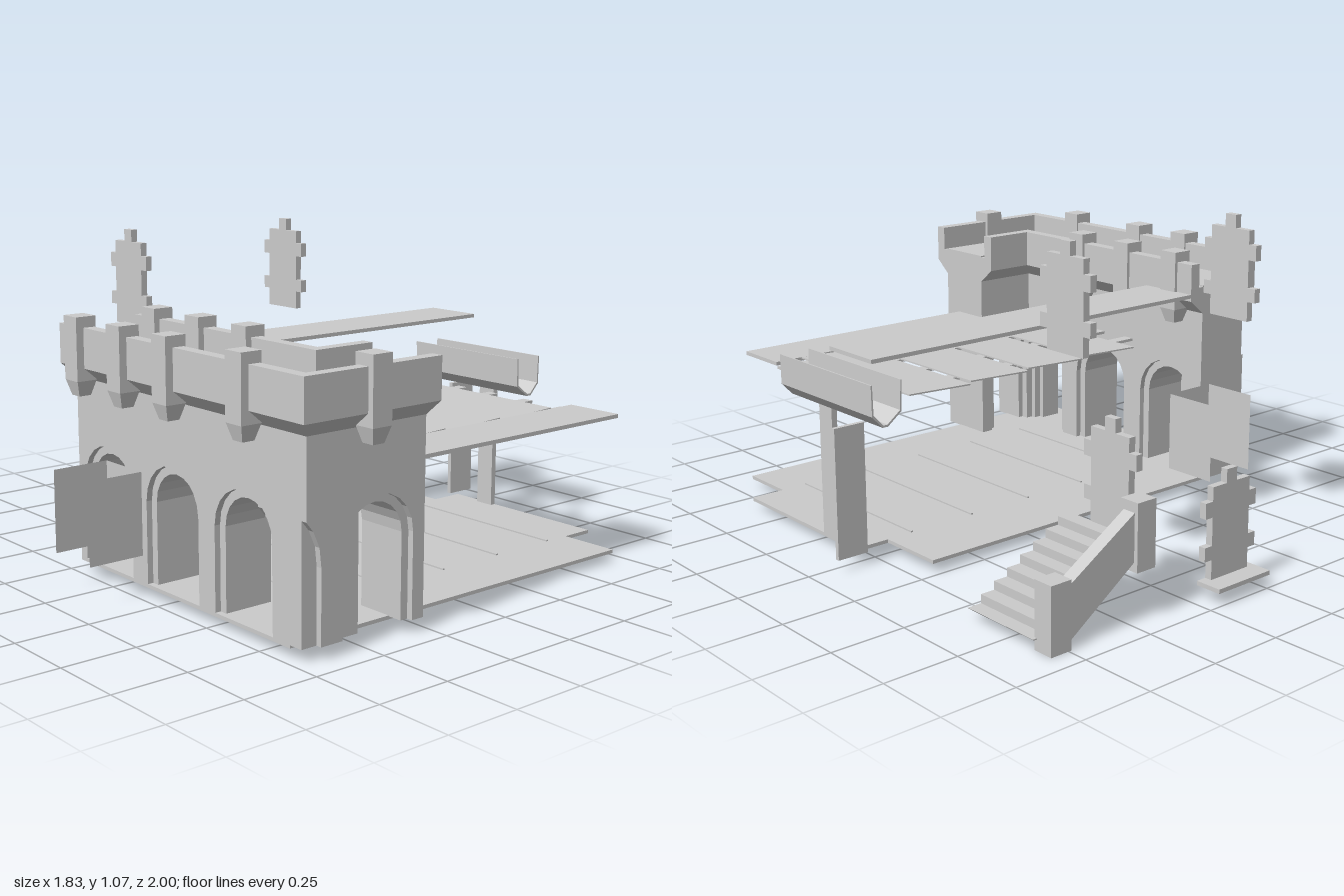
import * as THREE from 'three';

const mat = new THREE.MeshStandardMaterial({ color: 0xcccccc, flatShading: true, side: THREE.DoubleSide });

export function createModel() {
  const root = new THREE.Group();

  const add = (name, geo, parent = root) => {
    const m = new THREE.Mesh(geo, mat);
    m.name = name;
    parent.add(m);
    return m;
  };
  // Box given by its minimum and maximum on each axis
  const box = (name, x0, x1, y0, y1, z0, z1, parent = root) => {
    const m = add(name, new THREE.BoxGeometry(x1 - x0, y1 - y0, z1 - z0), parent);
    m.position.set((x0 + x1) / 2, (y0 + y1) / 2, (z0 + z1) / 2);
    return m;
  };
  const polygon = pts => new THREE.Shape(pts.map(p => new THREE.Vector2(p[0], p[1])));
  const extrude = (shape, depth) => new THREE.ExtrudeGeometry(shape, { depth, bevelEnabled: false, curveSegments: 5 });

  // Round-headed opening centred on u
  const archPoints = (u, r, base) => {
    const pts = [[u - r, base]];
    for (let i = 0; i <= 10; i++) {
      const a = Math.PI * (1 - i / 10);
      pts.push([u + r * Math.cos(a), 0.31 + r * Math.sin(a)]);
    }
    pts.push([u + r, base]);
    return pts;
  };
  const archRing = u => polygon([...archPoints(u, 0.137, 0.04), ...archPoints(u, 0.108, 0.04).reverse()]);

  // Wall outline along u, with doorways open at the bottom
  const archedWall = (u0, u1, centres, cut) => {
    const pts = [[u0, 0.75]];
    if (cut) pts.push([u0, 0.41], [-0.695, 0.38], [-0.672, 0.33], [-0.665, 0.27], [-0.665, 0.04]);
    else pts.push([u0, 0.04]);
    centres.forEach(c => pts.push(...archPoints(c, 0.135, 0.04)));
    pts.push([u1, 0.04], [u1, 0.75]);
    return polygon(pts);
  };

  // Long side wall: shape drawn in -z, turned to run along z
  const sideCentres = [-0.64, -0.29, 0.06];
  const side = new THREE.Group();
  side.name = 'sideWall';
  side.rotation.y = Math.PI / 2;
  side.position.x = -0.72;
  root.add(side);
  add('sideWallBody', extrude(archedWall(-0.9, 0.23, sideCentres, false), 0.21), side);
  sideCentres.forEach(c => {
    add('sideArchLining', extrude(archRing(c), 0.17), side).position.z = 0.02;
  });

  // Short front wall with one full arch and half an arch at the corner
  add('frontWallBody', extrude(archedWall(-0.72, -0.27, [-0.45], true), 0.21)).position.z = 0.71;
  add('frontArchLining', extrude(archRing(-0.45), 0.17)).position.z = 0.73;

  // Parapet: mitred sweep of a flared cross-section; stations are [x, z, outX, outZ]
  const parapet = (name, stations) => {
    const profile = [[0.06, 0.7], [0.06, 0.83], [0.02, 0.83], [0.02, 0.745], [0, 0.745], [0, 0.65]];
    const n = profile.length, pos = [], idx = [];
    stations.forEach(([x, z, dx, dz]) => profile.forEach(([o, y]) => pos.push(x + dx * o, y, z + dz * o)));
    for (let s = 0; s < stations.length - 1; s++) {
      for (let i = 0; i < n; i++) {
        const a = s * n + i, b = s * n + (i + 1) % n;
        idx.push(a, b, a + n, b, b + n, a + n);
      }
    }
    [0, (stations.length - 1) * n].forEach(k => {
      for (let i = 1; i < n - 1; i++) idx.push(k, k + i, k + i + 1);
    });
    const g = new THREE.BufferGeometry();
    g.setAttribute('position', new THREE.Float32BufferAttribute(pos, 3));
    g.setIndex(idx);
    g.computeVertexNormals();
    add(name, g);
  };
  parapet('outerParapet', [[-0.72, -0.23, -1, 0], [-0.72, 0.92, -1, 1], [-0.27, 0.92, 0, 1]]);
  parapet('innerParapet', [[-0.51, -0.23, 1, 0], [-0.51, 0.71, 1, -1], [-0.27, 0.71, 0, -1]]);

  // Merlons with a narrower corbel below
  const merlon = (x, z) => {
    const g = new THREE.Group();
    g.name = 'merlon';
    g.position.set(x, 0, z);
    root.add(g);
    box('merlonBlock', -0.036, 0.036, 0.66, 0.865, -0.036, 0.036, g);
    const taper = add('merlonCorbel', new THREE.CylinderGeometry(0.05, 0.03, 0.05, 4), g);
    taper.rotation.y = Math.PI / 4;
    taper.position.y = 0.635;
  };
  [-0.125, 0.115, 0.355].forEach(z => { merlon(-0.77, z); merlon(-0.475, z); });
  merlon(-0.77, 0.71);
  merlon(-0.515, 0.963);

  // Ground floor in two widths, with raised seams
  box('floor', -0.72, 0.69, 0.03, 0.042, -0.23, 0.85);
  box('floorEdge', 0.69, 0.81, 0.03, 0.042, 0.01, 0.645);
  for (let i = 0; i < 5; i++) box('floorSeam', -0.41 + i * 0.25, -0.402 + i * 0.25, 0.042, 0.047, 0.01, 0.645);

  // Roof panels, each tipped a little, on long battens
  for (let i = 0; i < 4; i++) {
    const x = -0.41 + i * 0.251;
    box('roofPanel', x, x + 0.249, 0.5, 0.505, 0.01, 0.645).rotation.z = 0.04;
  }
  [0.14, 0.29, 0.455, 0.625].forEach(z => box('roofBatten', -0.51, 0.69, 0.485, 0.495, z - 0.02, z + 0.02));
  box('frontAwning', -0.46, 0.69, 0.495, 0.508, 0.65, 0.85);
  box('backAwning', -0.51, 0.9, 0.712, 0.725, -0.23, -0.012);

  // Trough on a post, with a door leaf beside it
  const trough = polygon([[0.735, 0.62], [0.738, 0.52], [0.79, 0.48], [0.81, 0.48], [0.848, 0.52],
    [0.85, 0.62], [0.845, 0.62], [0.842, 0.524], [0.808, 0.487], [0.792, 0.487], [0.744, 0.524], [0.74, 0.62]]);
  add('trough', extrude(trough, 0.51)).position.z = -0.15;
  box('post', 0.79, 0.81, 0.04, 0.49, 0.13, 0.2);
  box('doorLeaf', 0.8, 0.91, 0.04, 0.47, -0.035, -0.02);

  // Recesses: three thin walls, open towards local -z, above and below
  const recess = (x, z, turn) => {
    const g = new THREE.Group();
    g.name = 'recess';
    g.position.set(x, 0, z);
    g.rotation.y = turn;
    root.add(g);
    const wall = (px, pz, r) => {
      const m = add('recessWall', new THREE.PlaneGeometry(0.195, 0.27), g);
      m.position.set(px, 0.265, pz);
      m.rotation.y = r;
    };
    wall(0, 0.0975, 0);
    wall(-0.0975, 0, Math.PI / 2);
    wall(0.0975, 0, Math.PI / 2);
  };
  recess(-0.415, -0.365, 0);
  recess(-0.82, 0.035, Math.PI / 2);

  // Notched panels, standing upright on y
  const notched = (x, y, z, turn) => {
    const half = [[0.08, 0], [0.08, 0.065], [0.11, 0.065], [0.11, 0.11], [0.08, 0.11], [0.08, 0.2],
      [0.11, 0.2], [0.11, 0.25], [0.08, 0.25], [0.08, 0.295], [0.022, 0.295], [0.022, 0.338]];
    const shape = polygon([...half, ...half.map(p => [-p[0], p[1]]).reverse()]);
    const m = add('notchedPanel', extrude(shape, 0.024).translate(0, 0, -0.012), root);
    m.position.set(x, y, z);
    m.rotation.y = turn;
  };
  notched(0.1, 0.055, -0.922, 0);
  box('panelBase', -0.01, 0.215, 0.042, 0.056, -1, -0.91);
  notched(-0.267, 0.735, -0.58, Math.PI / 2);
  notched(0.442, 0.735, -0.58, Math.PI / 2);
  notched(0.436, 0.243, -0.77, Math.PI / 2);

  // Stair: one folded sheet of treads and risers
  const steps = 8, run = 0.05, rise = 0.028, top = [], under = [];
  for (let i = 0; i < steps; i++) {
    const x = 0.43 + i * run, y = 0.235 - i * rise;
    top.push([x, y], [x + run, y]);
    under.push([x - 0.004, y - 0.004], [x + run - 0.004, y - 0.004]);
  }
  add('stairSteps', extrude(polygon([...top, ...under.reverse()]), 0.29)).position.z = -0.87;

  // Stair rail between two newels
  box('upperNewel', 0.415, 0.488, 0.16, 0.372, -0.93, -0.86);
  box('lowerNewel', 0.74, 0.815, 0, 0.212, -0.93, -0.86);
  const rail = polygon([[0.48, 0.195], [0.75, 0.01], [0.75, 0.18], [0.48, 0.345]]);
  add('stairRail', extrude(rail, 0.045)).position.z = -0.917;

  return root;
}
